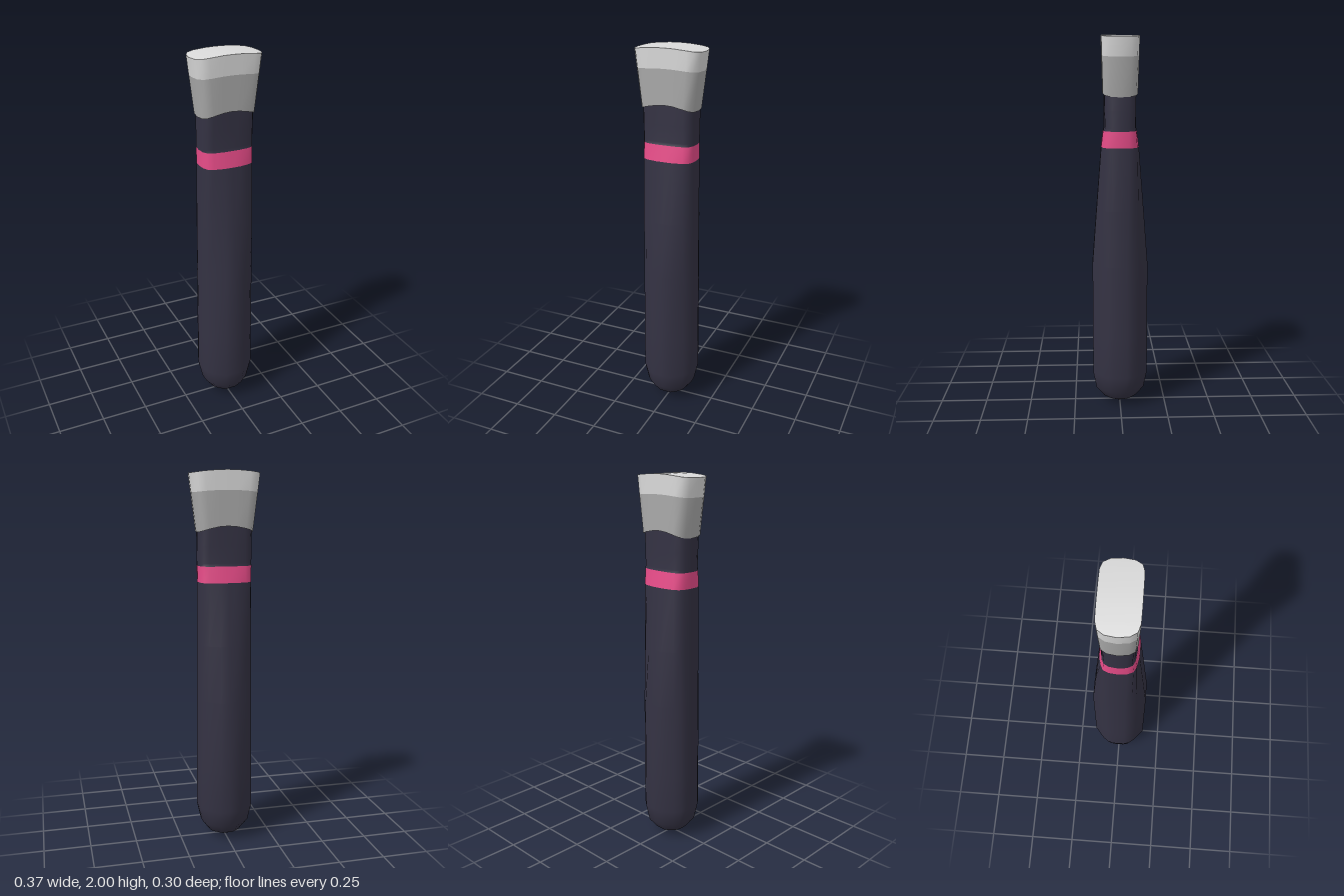
import * as THREE from 'three';

// Quarter outlines (x, z) from the side to the middle of the front, unit size
const ROUND = [[1, 0], [0.985, 0.25], [0.93, 0.45], [0.76, 0.67], [0.36, 1], [0, 1]];
const FLAT = [[1, 0], [0.962, 0.55], [0.85, 0.88], [0.65, 0.99], [0.28, 1], [0, 1]];
const N = 20;

// One closed cross-section; sides dip below the middle by `dip`
function ring([y, rx, rz, flat = 0, dip = 0]) {
  const quarter = ROUND.map(([x, z], i) => [
    THREE.MathUtils.lerp(x, FLAT[i][0], flat),
    THREE.MathUtils.lerp(z, FLAT[i][1], flat),
  ]);
  const points = [];
  for (let j = 0; j < N; j++) {
    const k = j % 10;
    const [x, z] = quarter[k <= 5 ? k : 10 - k];
    const sx = j <= 5 || j > 15 ? 1 : -1;
    const sz = j <= 10 ? 1 : -1;
    points.push([sx * x * rx, y - dip * x * x, sz * z * rz]);
  }
  return points;
}

function makeGeometry(points, index) {
  const geometry = new THREE.BufferGeometry();
  geometry.setAttribute('position', new THREE.Float32BufferAttribute(points.flat(), 3));
  geometry.setIndex(index);
  geometry.computeVertexNormals();
  return geometry;
}

// Smooth skin through a stack of cross-sections, bottom to top
function loft(sections) {
  const index = [];
  for (let i = 0; i < sections.length - 1; i++) {
    for (let j = 0; j < N; j++) {
      const a = i * N + j, b = i * N + (j + 1) % N;
      index.push(a, a + N, b, b, a + N, b + N);
    }
  }
  return makeGeometry(sections.flatMap(ring), index);
}

// Lid ruled from the front edge to the back edge
function lid(section) {
  const index = [];
  for (let j = 0; j < N / 2; j++) {
    const b = j + 1, c = N - j - 1, d = (N - j) % N;
    index.push(j, c, b);
    if (d !== j) index.push(j, d, c);
  }
  return makeGeometry(ring(section), index);
}

export function createModel() {
  const navy = new THREE.MeshStandardMaterial({ color: 0x343243 });
  navy.name = 'dark navy';
  const pink = new THREE.MeshStandardMaterial({ color: 0xe84c89 });
  pink.name = 'pink';
  const grey = new THREE.MeshStandardMaterial({ color: 0xaaaaaa });
  grey.name = 'grey';
  const pale = new THREE.MeshStandardMaterial({ color: 0xdadada });
  pale.name = 'pale grey';

  const model = new THREE.Group();
  model.name = 'brush';
  const add = (name, geometry, material) => {
    const mesh = new THREE.Mesh(geometry, material);
    mesh.name = name;
    model.add(mesh);
  };

  // Handle: rounded foot, full grip, narrowing toward the neck
  add('handle', loft([
    [0, 0, 0], [0.008, 0.035, 0.035], [0.035, 0.088, 0.088], [0.09, 0.13, 0.13],
    [0.18, 0.15, 0.148], [0.4, 0.148, 0.148], [0.8, 0.145, 0.148],
    [1.1, 0.143, 0.125, 0.3], [1.43, 0.141, 0.099, 0.7],
  ]), navy);
  add('band', loft([[1.43, 0.141, 0.099, 0.7], [1.515, 0.142, 0.088, 0.8]]), pink);
  add('neck', loft([
    [1.515, 0.142, 0.088, 0.8], [1.53, 0.142, 0.084, 0.8],
    [1.62, 0.143, 0.083, 0.9], [1.74, 0.144, 0.083, 1],
  ]), navy);

  // Bristles: flared and slightly crowned, with a paler tip
  const root = [1.72, 0.148, 0.091, 1, 0.032];
  const middle = [1.9, 0.173, 0.096, 1, 0.012];
  const tip = [2, 0.185, 0.098, 1, 0.016];
  add('bristleUnderside', loft([[1.725, 0.138, 0.08, 1, 0.032], root]), grey);
  add('bristleBase', loft([root, middle]), grey);
  add('bristleTip', loft([middle, tip]), pale);
  add('bristleTop', lid(tip), pale);
  return model;
}
